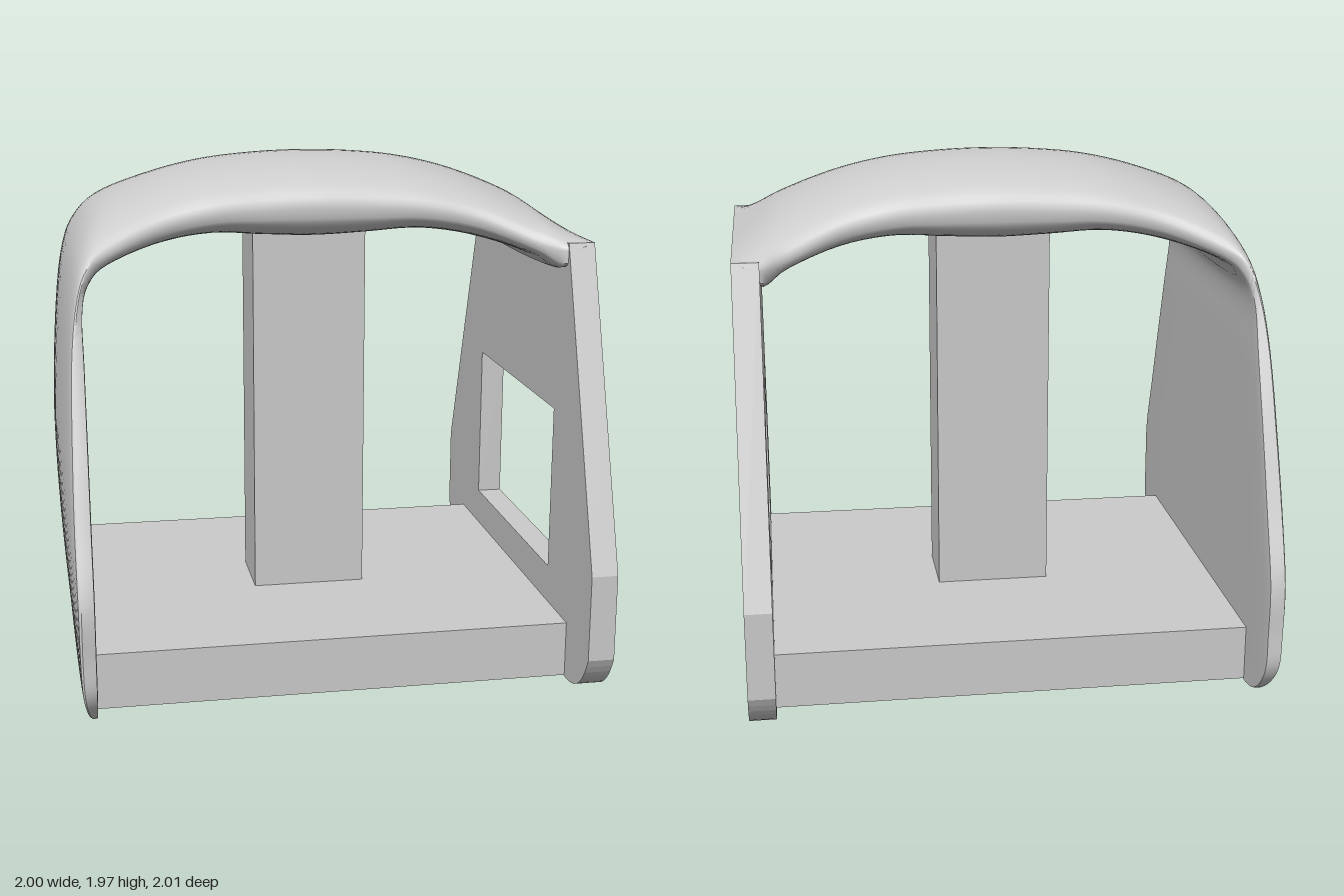
import * as THREE from 'three';
import { toCreasedNormals } from 'three/addons/utils/BufferGeometryUtils.js';

const material = new THREE.MeshStandardMaterial({ color: 0xcccccc, side: THREE.DoubleSide });

function addMesh(group, name, geometry, x = 0, y = 0, z = 0) {
  const mesh = new THREE.Mesh(geometry, material);
  mesh.name = name;
  mesh.position.set(x, y, z);
  group.add(mesh);
}

// Flat side panel with a window, rounded feet and a shallow arch at the bottom
function windowPanel() {
  const s = new THREE.Shape();
  s.moveTo(-0.6, 1.67);
  s.lineTo(-1, 0.5);
  s.lineTo(-1, 0.17);
  s.bezierCurveTo(-0.95, 0.06, -0.88, 0, -0.76, 0);
  s.lineTo(-0.6, 0.005);
  s.lineTo(-0.37, 0.05);
  s.lineTo(0.37, 0.05);
  s.lineTo(0.6, 0.005);
  s.lineTo(0.76, 0);
  s.bezierCurveTo(0.88, 0, 0.95, 0.06, 1, 0.17);
  s.lineTo(1, 0.5);
  s.lineTo(0.6, 1.67);
  s.closePath();
  const hole = new THREE.Path();
  hole.moveTo(-0.5, 0.365);
  hole.lineTo(0.5, 0.365);
  hole.lineTo(0.5, 1.01);
  hole.lineTo(-0.5, 1.01);
  hole.closePath();
  s.holes.push(hole);
  const g = new THREE.ExtrudeGeometry(s, { depth: 0.1, bevelEnabled: false, curveSegments: 10 });
  return g.rotateY(Math.PI / 2);
}

// Stations of the canopy: outer centre, edge, inner centre (x, y each),
// half depth, and the roundness of the inner side (small = square)
const roof = [
  [0.8, 1.81, 0.8, 1.66, 0.8, 1.6, 0.54, 0.5],
  [0.6, 1.89, 0.6, 1.74, 0.6, 1.655, 0.46, 0.6],
  [0.4, 1.94, 0.4, 1.78, 0.4, 1.68, 0.43, 0.6],
  [0.2, 1.963, 0.2, 1.79, 0.2, 1.665, 0.417, 0.6],
];
const mirrored = [...roof].reverse().map(([a, b, c, d, e, f, w, p]) => [-a, b, -c, d, -e, f, w, p]);
const stations = [
  [1, 1.67, 1, 1.67, 1, 1.67, 0.6, 0.3],
  [0.9, 1.745, 0.9, 1.64, 0.9, 1.55, 0.605, 0.3],
  ...roof,
  [0, 1.97, 0, 1.795, 0, 1.655, 0.415, 0.6],
  ...mirrored,
  [-0.9, 1.7, -0.88, 1.61, -0.87, 1.55, 0.6, 0.3],
  [-0.95, 1.56, -0.92, 1.5, -0.9, 1.47, 0.655, 0.1],
  [-0.98, 1.33, -0.945, 1.3, -0.9, 1.28, 0.727, 0.06],
  // wall stations: outer x, edge x, height, half depth
  ...[
    [-1, -0.955, 1, 0.83],
    [-1, -0.96, 0.75, 0.915],
    [-0.99, -0.96, 0.5, 0.998],
    [-0.975, -0.96, 0.3, 1],
    [-0.965, -0.955, 0.17, 0.995],
    [-0.95, -0.94, 0.08, 0.94],
    [-0.925, -0.92, 0.02, 0.86],
    [-0.9, -0.9, 0, 0.77],
  ].map(([cx, ex, y, w]) => [cx, y, ex, y, -0.9, y, w, 0.06]),
];

// Closed section through one station: over the outside, back along the inside
function section([cx, cy, ex, ey, ix, iy, w, p], n = 28) {
  const points = [];
  for (let k = 0; k < 2 * n; k++) {
    const outer = k < n;
    const angle = (outer ? k / n - 0.5 : 1.5 - k / n) * Math.PI;
    const f = Math.pow(Math.max(Math.cos(angle), 0), outer ? 1 : p);
    const [x, y] = outer ? [cx, cy] : [ix, iy];
    points.push(new THREE.Vector3(ex + (x - ex) * f, ey + (y - ey) * f, w * Math.sin(angle)));
  }
  return points;
}

// Smooth loft of the roof running into the curved solid wall
function canopy() {
  const sections = stations.map((s) => section(s));
  const columns = sections[0].length;
  const rows = 92;
  const pos = [];
  const index = [];
  const curves = sections[0].map((_, k) => new THREE.CatmullRomCurve3(sections.map((s) => s[k]), false, 'catmullrom', 0.5));
  for (let i = 0; i <= rows; i++) {
    for (let k = 0; k < columns; k++) {
      const v = curves[k].getPoint(i / rows);
      pos.push(v.x, Math.max(v.y, 0), v.z);
      if (i === rows) continue;
      const a = i * columns + k;
      const b = i * columns + ((k + 1) % columns);
      index.push(a, a + columns, b, b, a + columns, b + columns);
    }
  }
  const g = new THREE.BufferGeometry();
  g.setAttribute('position', new THREE.Float32BufferAttribute(pos, 3));
  g.setIndex(index);
  return toCreasedNormals(g, 0.7);
}

export function createModel() {
  const group = new THREE.Group();
  group.name = 'shelter';
  addMesh(group, 'floor', new THREE.BoxGeometry(1.8, 0.215, 1.49), 0, 0.1125, 0);
  addMesh(group, 'column', new THREE.BoxGeometry(0.445, 1.48, 0.295), 0, 0.95, 0);
  addMesh(group, 'windowPanel', windowPanel(), 0.9, 0, 0);
  addMesh(group, 'canopyAndWall', canopy());
  return group;
}
